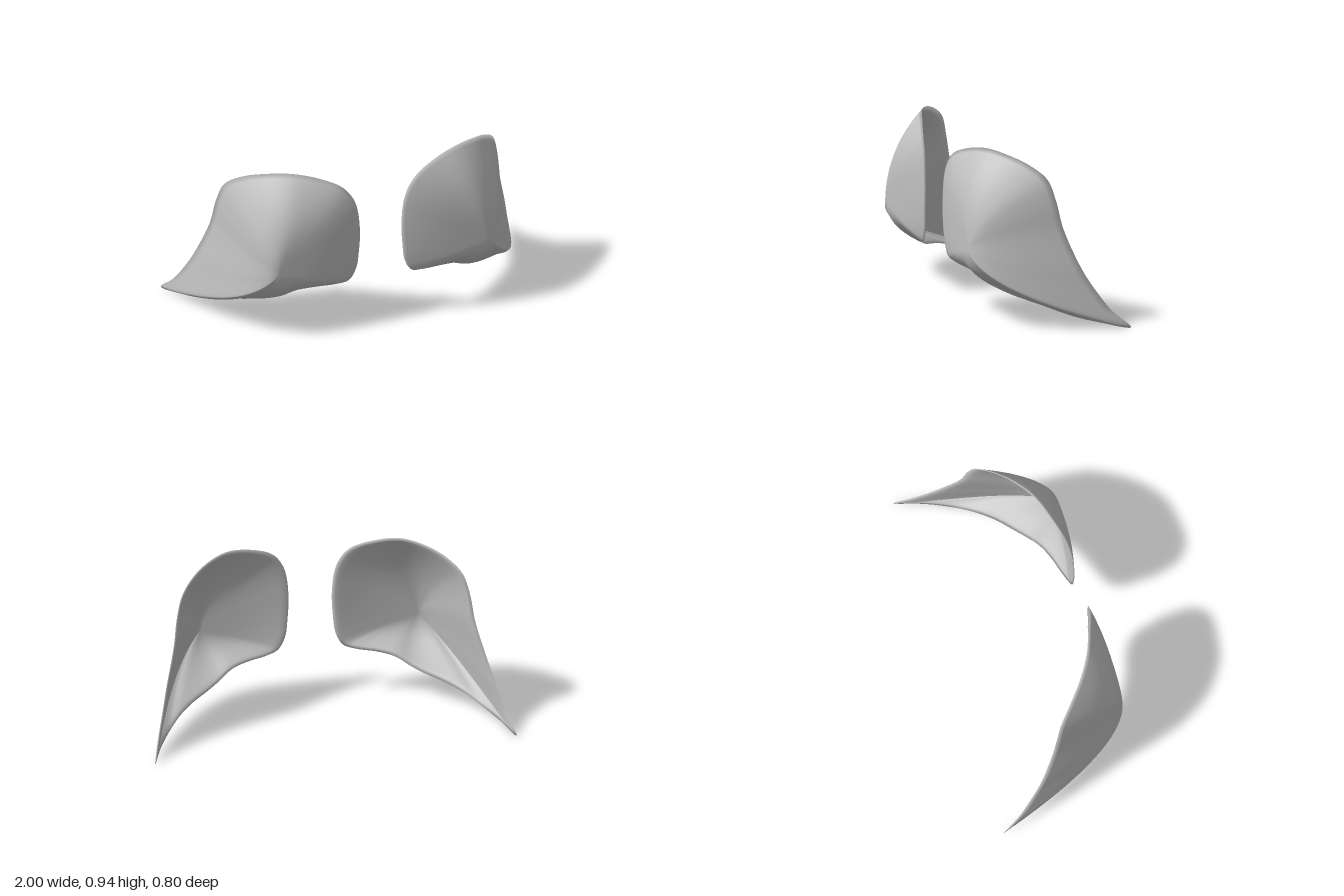
import * as THREE from 'three';

// Rim of the left shell, counter-clockwise seen from the front
const RIM = [
  [0.12, 0.60, 0.355], [0.125, 0.46, 0.355], [0.14, 0.35, 0.35], [0.18, 0.28, 0.345],
  [0.25, 0.258, 0.325], [0.36, 0.245, 0.295], [0.45, 0.225, 0.26], [0.53, 0.18, 0.215],
  [0.60, 0.152, 0.165], [0.70, 0.125, 0.085], [0.79, 0.095, -0.01], [0.87, 0.055, -0.12],
  [0.94, 0.025, -0.25], [1.00, 0.0, -0.40], [0.965, 0.095, -0.30], [0.93, 0.20, -0.225],
  [0.895, 0.32, -0.155], [0.835, 0.54, -0.07], [0.81, 0.70, -0.035], [0.775, 0.81, 0.0],
  [0.70, 0.88, 0.075], [0.60, 0.922, 0.16], [0.48, 0.94, 0.235], [0.34, 0.915, 0.29],
  [0.21, 0.855, 0.335], [0.145, 0.76, 0.35],
].map((p) => new THREE.Vector3(...p));

const APEX = new THREE.Vector3(0.6, 0.42, 0.4);
const AROUND = RIM.length * 6;
const RINGS = 24;
const THICKNESS = 0.02;

// Triangles of an apex fan plus rings; id(ring, spoke) gives the vertex number
function addSurface(index, id, flip) {
  const tri = (a, b, c) => (flip ? index.push(a, c, b) : index.push(a, b, c));
  for (let i = 0; i < AROUND; i++) {
    const j = (i + 1) % AROUND;
    tri(id(0, 0), id(1, i), id(1, j));
    for (let r = 1; r < RINGS; r++) {
      tri(id(r, i), id(r + 1, i), id(r + 1, j));
      tri(id(r, i), id(r + 1, j), id(r, j));
    }
  }
}

function shellGeometry(side) {
  const curve = new THREE.CatmullRomCurve3(RIM, true, 'centripetal');
  const pos = [APEX.x * side, APEX.y, APEX.z];
  const ringT = [0];

  // Outer skin: spokes run from the apex to the rim and curve backwards
  for (let r = 1; r <= RINGS; r++) {
    const t = r / RINGS;
    for (let i = 0; i < AROUND; i++) {
      const p = curve.getPoint(i / AROUND);
      const bend = 1.93 + 1.1 * (1 - THREE.MathUtils.smoothstep(p.x, 0.3, 0.8));
      pos.push(
        THREE.MathUtils.lerp(APEX.x, p.x, t) * side,
        THREE.MathUtils.lerp(APEX.y, p.y, t),
        APEX.z + (p.z - APEX.z) * Math.pow(t, bend),
      );
      ringT.push(t);
    }
  }
  const outerId = (r, i) => (r === 0 ? 0 : 1 + (r - 1) * AROUND + i);
  const index = [];
  addSurface(index, outerId, side < 0);

  const outer = new THREE.BufferGeometry();
  outer.setAttribute('position', new THREE.Float32BufferAttribute(pos, 3));
  outer.setIndex(index);
  outer.computeVertexNormals();
  const n = outer.attributes.normal;

  // Inner skin: offset along the normal, thinning to meet the rim
  const count = 1 + (RINGS - 1) * AROUND;
  const base = pos.length / 3;
  for (let v = 0; v < count; v++) {
    const d = THICKNESS * Math.sqrt(1 - Math.pow(ringT[v], 4));
    pos.push(pos[v * 3] - n.getX(v) * d, pos[v * 3 + 1] - n.getY(v) * d, pos[v * 3 + 2] - n.getZ(v) * d);
  }
  const innerId = (r, i) => (r === RINGS ? outerId(r, i) : base + outerId(r, i));
  addSurface(index, innerId, side > 0);

  const geometry = new THREE.BufferGeometry();
  geometry.setAttribute('position', new THREE.Float32BufferAttribute(pos, 3));
  geometry.setIndex(index);
  geometry.computeVertexNormals();
  return geometry;
}

export function createModel() {
  const group = new THREE.Group();
  group.name = 'curvedShellPair';
  const grey = new THREE.MeshStandardMaterial({ color: 0xc0c0c0 });
  grey.name = 'light grey';
  for (const [name, side] of [['leftShell', 1], ['rightShell', -1]]) {
    const mesh = new THREE.Mesh(shellGeometry(side), grey);
    mesh.name = name;
    group.add(mesh);
  }
  return group;
}
